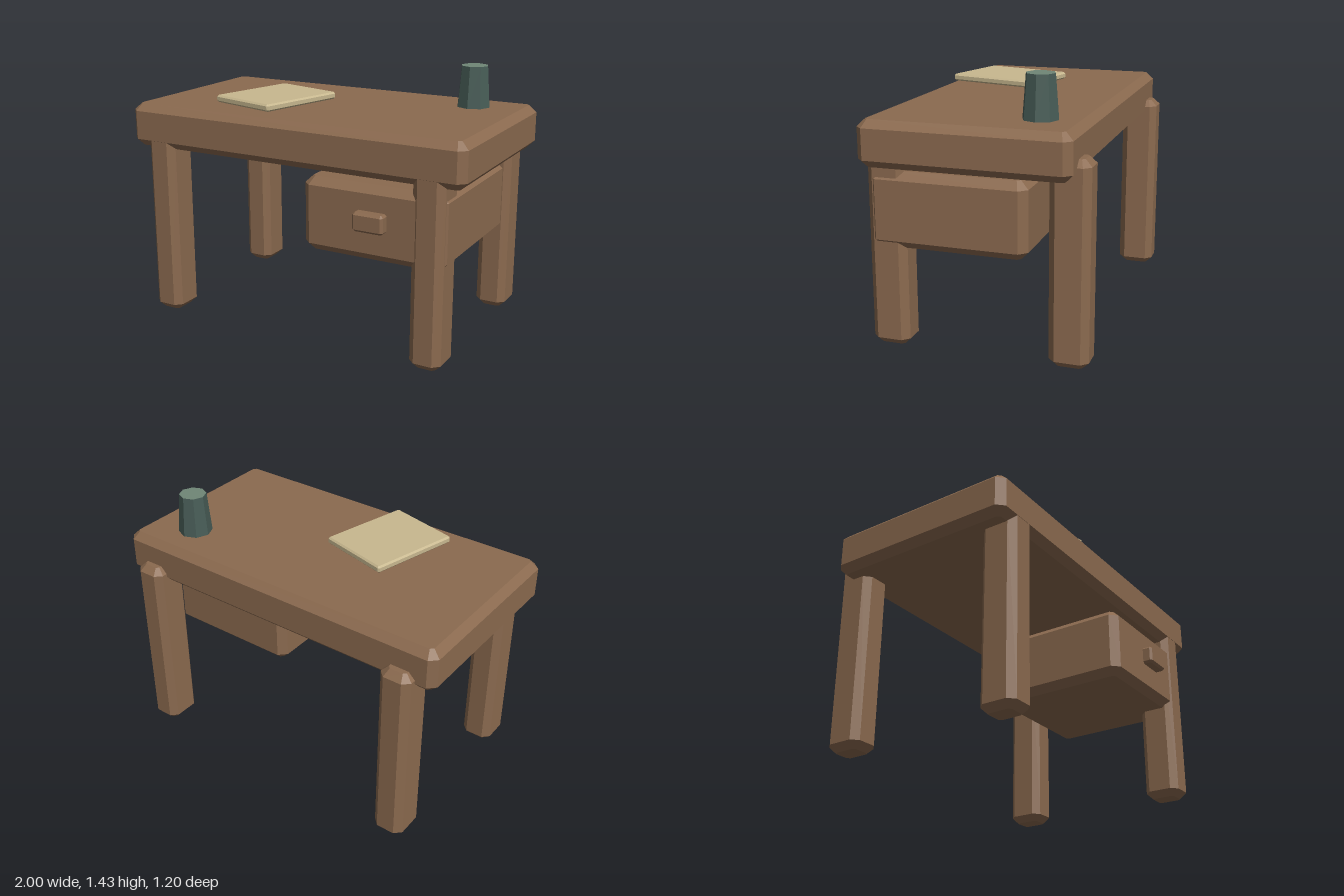
import * as THREE from 'three';
import { ConvexGeometry } from 'three/addons/geometries/ConvexGeometry.js';

function material(name, color) {
  const m = new THREE.MeshStandardMaterial({ color });
  m.name = name;
  return m;
}

// Box with every edge cut: octagonal in plan, bevelled at top and bottom
function chamferedBox(w, h, d, c) {
  const points = [];
  const cut = c * 0.4;
  for (const sx of [-1, 1]) for (const sy of [-1, 1]) for (const sz of [-1, 1]) {
    const add = (x, y, z) => points.push(
      new THREE.Vector3(sx * (w / 2 - x), sy * (h / 2 - y), sz * (d / 2 - z)));
    add(0, c, c);
    add(c, c, 0);
    add(c, 0, c + cut);
    add(c + cut, 0, c);
  }
  return new ConvexGeometry(points);
}

export function createModel() {
  const model = new THREE.Group();
  model.name = 'desk';
  const wood = material('wood', 0x8b6a4f);
  const paper = material('paper', 0xc8b88f);
  const cupSide = material('cupSide', 0x485d57);
  const cupTop = material('cupTop', 0x6f8676);

  // Block given by its [min, max] along each axis
  function block(name, mat, [x0, x1], [y0, y1], [z0, z1], chamfer) {
    const mesh = new THREE.Mesh(chamferedBox(x1 - x0, y1 - y0, z1 - z0, chamfer), mat);
    mesh.position.set((x0 + x1) / 2, (y0 + y1) / 2, (z0 + z1) / 2);
    mesh.name = name;
    model.add(mesh);
    return mesh;
  }

  block('tabletop', wood, [-1, 1], [0.965, 1.205], [-0.535, 0.556], 0.04);

  // Four legs; the back pair stands out behind the top
  for (const [side, x] of [['Left', 0.81], ['Right', -0.812]]) {
    block('front' + side + 'Leg', wood, [x - 0.087, x + 0.087], [0, 1.06], [0.352, 0.555], 0.036);
    block('back' + side + 'Leg', wood, [x - 0.087, x + 0.087], [0, 1.06], [-0.6, -0.393], 0.036);
  }

  // Hanging drawer and its pull
  block('drawer', wood, [0.106, 0.906], [0.533, 0.932], [-0.29, 0.546], 0.042);
  block('drawerHandle', wood, [0.425, 0.596], [0.7, 0.8], [0.52, 0.6], 0.012);

  // Notepad lying at an angle
  const pad = block('notepad', paper, [-0.475, -0.06], [1.228, 1.267], [-0.074, 0.446], 0.009);
  pad.rotation.y = -0.25;

  // Eight-sided tapered cup
  const cupGeometry = new THREE.CylinderGeometry(0.075, 0.093, 0.226, 8).toNonIndexed();
  cupGeometry.computeVertexNormals();
  const cup = new THREE.Mesh(cupGeometry, [cupSide, cupTop, cupSide]);
  cup.name = 'cup';
  cup.position.set(0.703, 1.318, -0.3);
  model.add(cup);

  return model;
}
